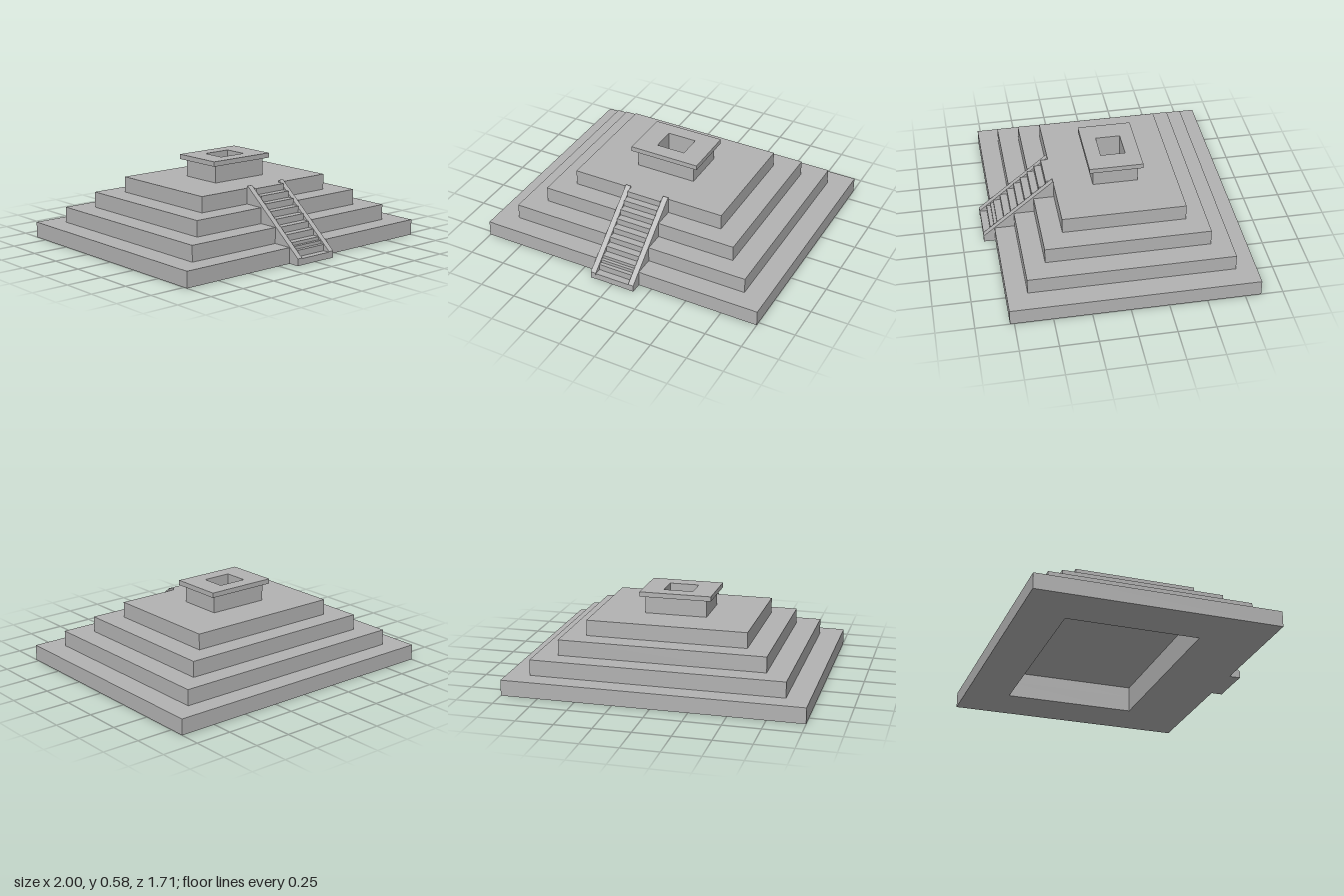
import * as THREE from 'three';

const stone = new THREE.MeshStandardMaterial({ color: 0xb2b2b2 });
stone.name = 'stone';

function rectPoints(halfW, z0, z1) {
  return [[-halfW, -z0], [-halfW, -z1], [halfW, -z1], [halfW, -z0]]
    .map(([x, y]) => new THREE.Vector2(x, y));
}

// Flat slab between y0 and y1, with an optional rectangular opening [halfW, z0, z1]
function slab(name, halfW, z0, z1, y0, y1, hole) {
  const shape = new THREE.Shape(rectPoints(halfW, z0, z1));
  if (hole) shape.holes.push(new THREE.Path(rectPoints(...hole)));
  const geo = new THREE.ExtrudeGeometry(shape, { depth: y1 - y0, bevelEnabled: false });
  geo.rotateX(-Math.PI / 2).translate(0, y0, 0);
  const mesh = new THREE.Mesh(geo, stone);
  mesh.name = name;
  return mesh;
}

// Side profile of [z, y] points, extruded from x0 to x1
function sideProfile(name, points, x0, x1) {
  const shape = new THREE.Shape(points.map(([z, y]) => new THREE.Vector2(-z, y)));
  const geo = new THREE.ExtrudeGeometry(shape, { depth: x1 - x0, bevelEnabled: false });
  geo.rotateY(Math.PI / 2).translate(x0, 0, 0);
  const mesh = new THREE.Mesh(geo, stone);
  mesh.name = name;
  return mesh;
}

export function createModel() {
  const model = new THREE.Group();
  model.name = 'steppedPyramid';

  // Four terraces; the lower two are hollowed from beneath
  const rise = 0.1065;
  const recess = [0.667, -0.553, 0.345];
  const tiers = [
    [1.0, -0.855, 0.778],
    [0.848, -0.72, 0.643],
    [0.697, -0.585, 0.507],
    [0.543, -0.449, 0.37],
  ];
  tiers.forEach(([w, z0, z1], i) => {
    model.add(slab(`terrace${i + 1}`, w, z0, z1, i * rise, (i + 1) * rise, i < 2 ? recess : null));
  });
  model.add(slab('recessCeiling', ...recess, 0.18, 2 * rise));

  // Shrine with an open shaft through its overhanging roof
  const shaft = [0.1, -0.124, 0.041];
  model.add(slab('shrineWalls', 0.21, -0.19, 0.113, 4 * rise, 0.545, shaft));
  model.add(slab('shrineRoof', 0.245, -0.22, 0.14, 0.545, 0.578, shaft));

  // Staircase of ten equal steps
  const steps = 10, tread = 0.0483, stepRise = 4 * rise / steps;
  const profile = [[0.365, 0], [0.853, 0]];
  for (let i = 0; i < steps; i++) {
    const z = 0.853 - i * tread;
    profile.push([z, (i + 1) * stepRise], [z - tread, (i + 1) * stepRise]);
  }
  profile.push([0.365, 4 * rise]);
  model.add(sideProfile('staircase', profile, -0.121, 0.121));

  // Sloping balustrades on both sides
  const rail = [[0.37, 0], [0.855, 0], [0.855, 0.047], [0.375, 0.442], [0.37, 0.442]];
  model.add(sideProfile('leftBalustrade', rail, 0.121, 0.158));
  model.add(sideProfile('rightBalustrade', rail, -0.158, -0.121));

  return model;
}
